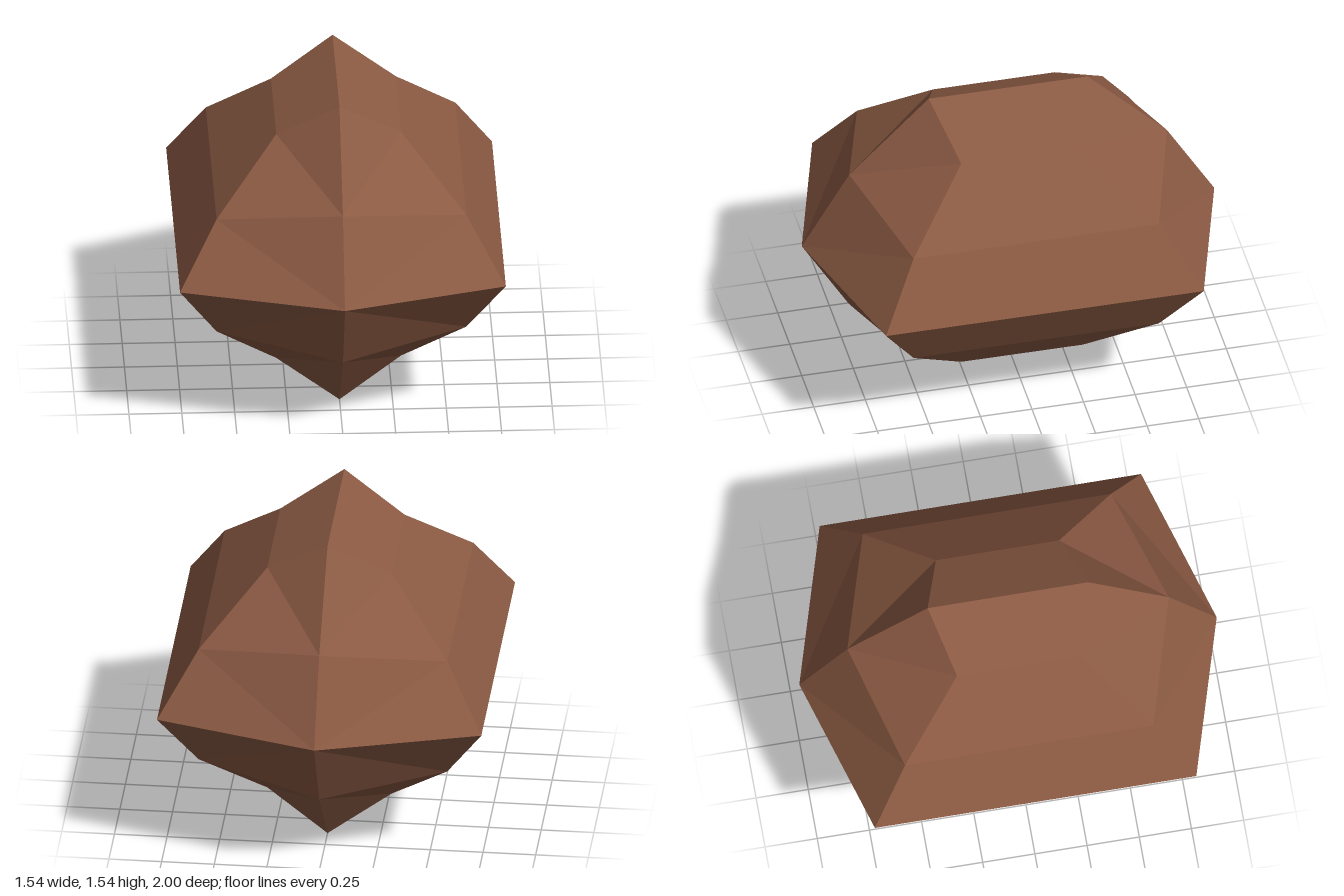
import * as THREE from 'three';

// Faceted rock: one octant is described and mirrored to the other seven.
export function createModel() {
  const rockBrown = new THREE.MeshStandardMaterial({ color: 0x8b5a43 });
  const R = 0.77;

  // Rim of the octant, from the ridge at the top down to the side corner
  const A = [0, R, 0.385], B = [0.295, 0.59, 0.295], C = [0.59, 0.295, 0.595], D = [R, 0, R];
  // Centre line of the pointed end
  const P = [0, 0.385, R], Q = [0, 0, 1];
  const flat = ([x, y]) => [x, y, 0];

  const triangles = [[A, P, B], [B, P, C], [P, Q, C], [C, Q, D]];
  // Long side facets running back to the middle
  for (const [a, b] of [[A, B], [B, C], [C, D]]) {
    triangles.push([a, b, flat(b)], [a, flat(b), flat(a)]);
  }

  const positions = [];
  for (const sx of [1, -1]) for (const sy of [1, -1]) for (const sz of [1, -1]) {
    for (const [a, b, c] of triangles) {
      const corners = sx * sy * sz > 0 ? [a, b, c] : [a, c, b];
      for (const [x, y, z] of corners) positions.push(x * sx, y * sy + R, z * sz);
    }
  }

  const geometry = new THREE.BufferGeometry();
  geometry.setAttribute('position', new THREE.Float32BufferAttribute(positions, 3));
  geometry.computeVertexNormals();

  const rock = new THREE.Mesh(geometry, rockBrown);
  rock.name = 'rock';
  const group = new THREE.Group();
  group.name = 'facetedRock';
  group.add(rock);
  return group;
}
